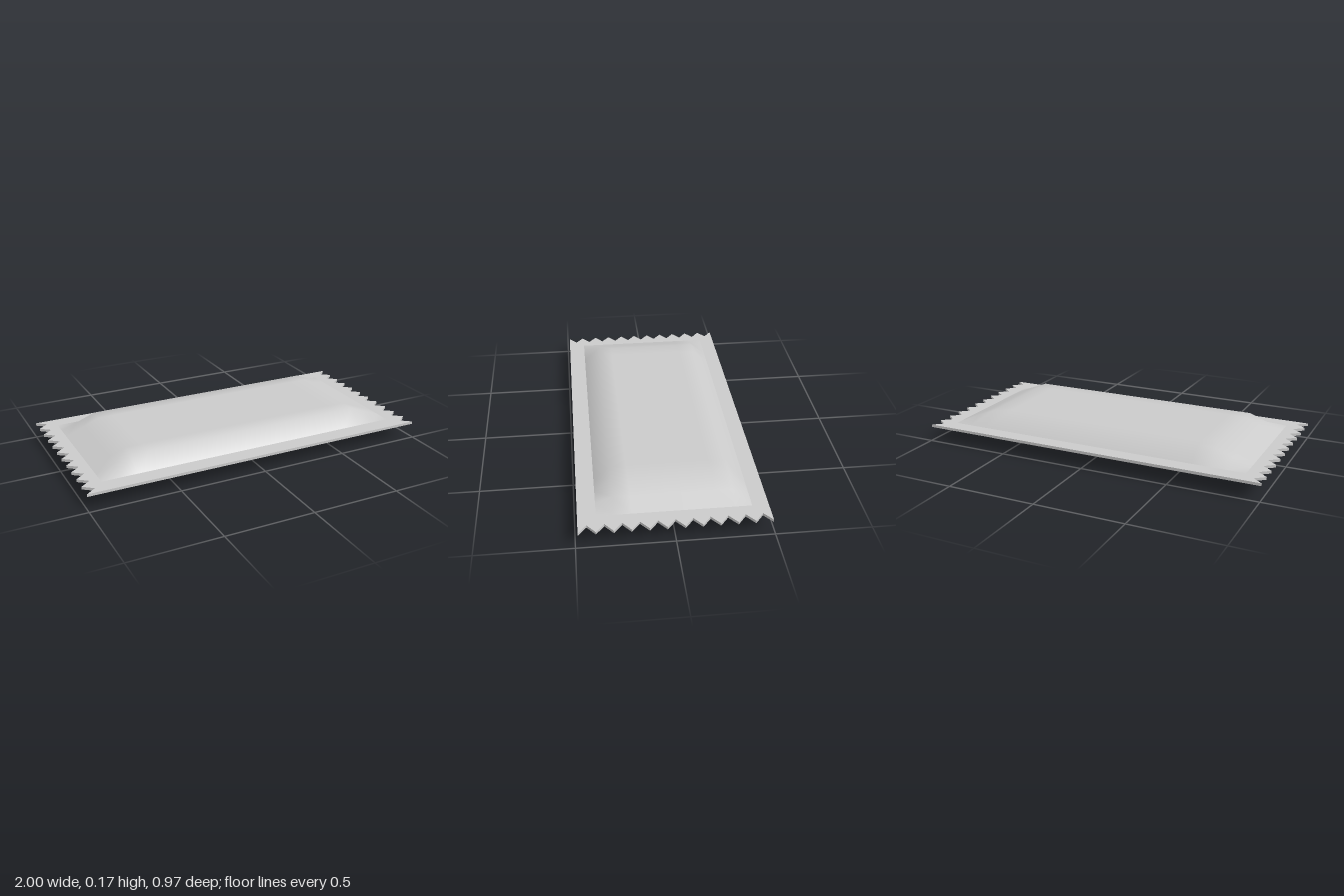
import * as THREE from 'three';

const material = new THREE.MeshStandardMaterial({ color: 0xcccccc, side: THREE.DoubleSide });

// Flat sealed sheet with saw-toothed short ends
function makeSeal() {
  const halfX = 1, halfZ = 0.485, notch = 0.055, teeth = 11, thickness = 0.015;
  const points = [];
  for (const side of [1, -1]) {
    for (let i = 0; i <= teeth * 2; i++) {
      const x = i % 2 ? halfX - notch : halfX;
      const z = -halfZ + (i / (teeth * 2)) * halfZ * 2;
      points.push(new THREE.Vector2(side * x, side * z));
    }
  }
  const geometry = new THREE.ExtrudeGeometry(new THREE.Shape(points), { depth: thickness, bevelEnabled: false });
  geometry.rotateX(-Math.PI / 2);
  const mesh = new THREE.Mesh(geometry, material);
  mesh.position.y = 0.08;
  return mesh;
}

// Puffed panel: a grid raised to a plateau, with sloping borders that sink at the corners
function makePanel(baseY, height) {
  const width = 1.775, depth = 0.79, slopeX = 2, slopeZ = 1;
  const columns = 18, rows = 9;
  const geometry = new THREE.PlaneGeometry(width, depth, columns, rows);
  geometry.rotateX(-Math.PI / 2);
  const position = geometry.attributes.position;
  for (let i = 0; i < position.count; i++) {
    const c = i % (columns + 1), r = Math.floor(i / (columns + 1));
    const riseX = Math.min(1, Math.min(c, columns - c) / slopeX);
    const riseZ = Math.min(1, Math.min(r, rows - r) / slopeZ);
    position.setY(i, height * riseX * riseZ);
  }
  // The lower panel is the upper one turned over
  if (height < 0) {
    const index = geometry.index.array;
    for (let i = 0; i < index.length; i += 3) [index[i], index[i + 1]] = [index[i + 1], index[i]];
  }
  geometry.computeVertexNormals();
  const mesh = new THREE.Mesh(geometry, material);
  mesh.position.set(-0.006, baseY, -0.004);
  return mesh;
}

export function createModel() {
  const model = new THREE.Group();
  model.name = 'wrapper';
  const parts = {
    sealedEdge: makeSeal(),
    upperPanel: makePanel(0.096, 0.076),
    lowerPanel: makePanel(0.079, -0.079),
  };
  for (const [name, mesh] of Object.entries(parts)) {
    mesh.name = name;
    model.add(mesh);
  }
  return model;
}
